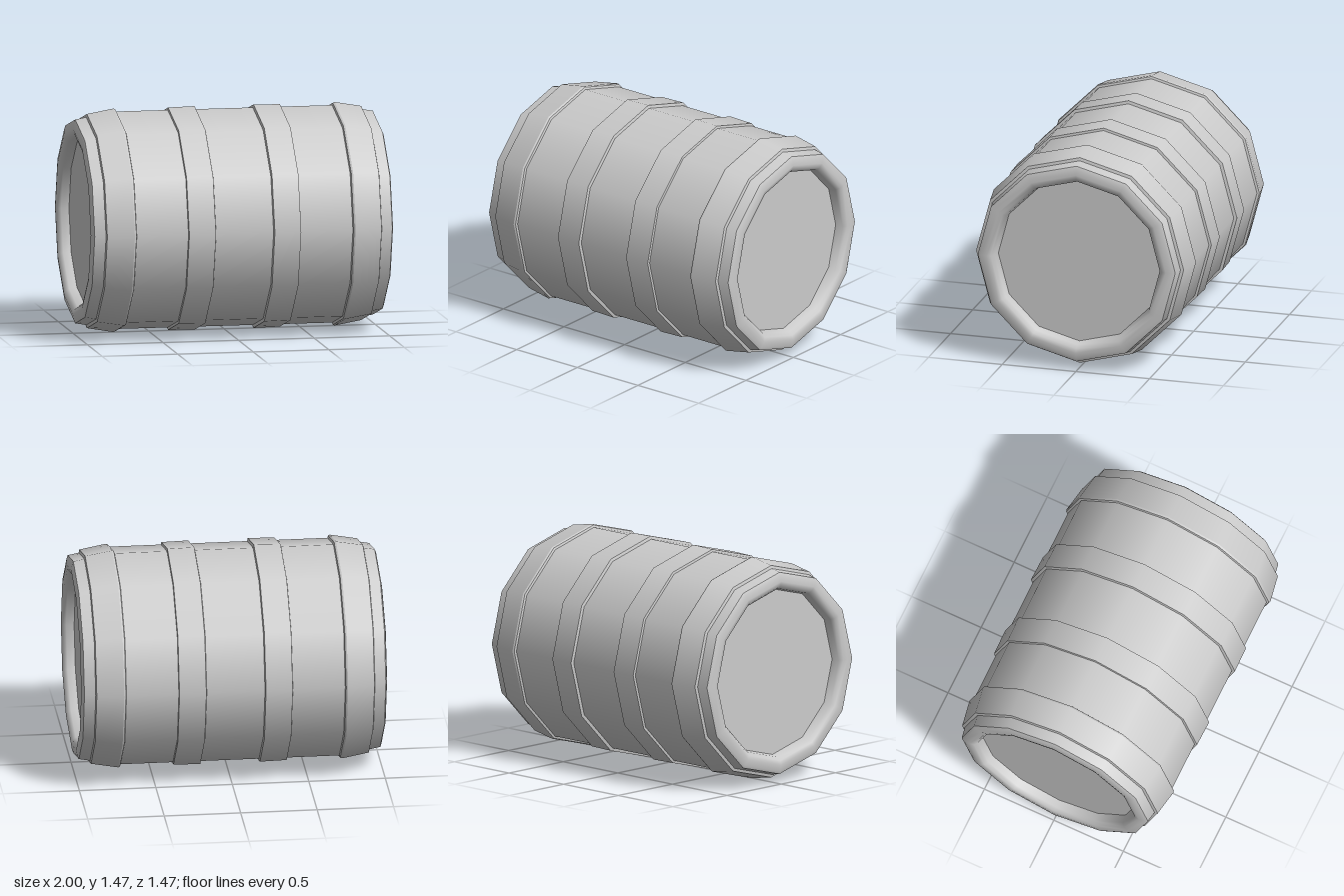
import * as THREE from 'three';

const SIDES = 12;
const CENTRE_Y = 0.735;

export function createModel() {
  const model = new THREE.Group();
  model.name = 'barrel';
  const material = new THREE.MeshStandardMaterial({ color: 0xcccccc });

  // Ring turned about the x axis from [x, radius] points
  function ring(parent, name, points) {
    const profile = points.map(([x, r]) => new THREE.Vector2(r, x));
    const geometry = new THREE.LatheGeometry(profile, SIDES);
    geometry.rotateZ(-Math.PI / 2);
    const mesh = new THREE.Mesh(geometry, material);
    mesh.name = name;
    parent.add(mesh);
  }

  // Hoop with crisp steps: each profile segment is its own strip
  function hoop(parent, name, points) {
    const group = new THREE.Group();
    group.name = name;
    for (let i = 0; i < points.length - 1; i++) {
      ring(group, name + 'Strip', [points[i], points[i + 1]]);
    }
    parent.add(group);
  }

  const barrel = new THREE.Group();
  barrel.name = 'barrelBody';
  barrel.position.y = CENTRE_Y;
  model.add(barrel);

  // Straight wall between the two end hoops
  ring(barrel, 'wall', [[-0.72, 0.715], [0.72, 0.715]]);

  // Two matching halves
  for (const [side, turn] of [['left', 0], ['right', Math.PI]]) {
    const half = new THREE.Group();
    half.name = side + 'Half';
    half.rotation.y = turn;
    barrel.add(half);

    // Raised middle band
    hoop(half, 'middleHoop', [[0.19, 0.715], [0.195, 0.735], [0.37, 0.731], [0.373, 0.715]]);

    // Tapered end hoop
    hoop(half, 'endHoop', [[0.715, 0.715], [0.72, 0.73], [0.732, 0.735], [0.908, 0.704], [0.913, 0.684]]);

    // Rounded rim rolling inward to the recessed lid
    ring(half, 'rimWall', [[0.91, 0.684], [0.985, 0.67]]);
    ring(half, 'rim', [[0.985, 0.67], [0.993, 0.652], [1, 0.61], [0.993, 0.58], [0.97, 0.56], [0.92, 0.55]]);

    // Flat recessed lid
    const lid = new THREE.Mesh(new THREE.CircleGeometry(0.55, SIDES), material);
    lid.name = 'lid';
    lid.rotation.y = Math.PI / 2;
    lid.position.x = 0.92;
    half.add(lid);
  }

  return model;
}
